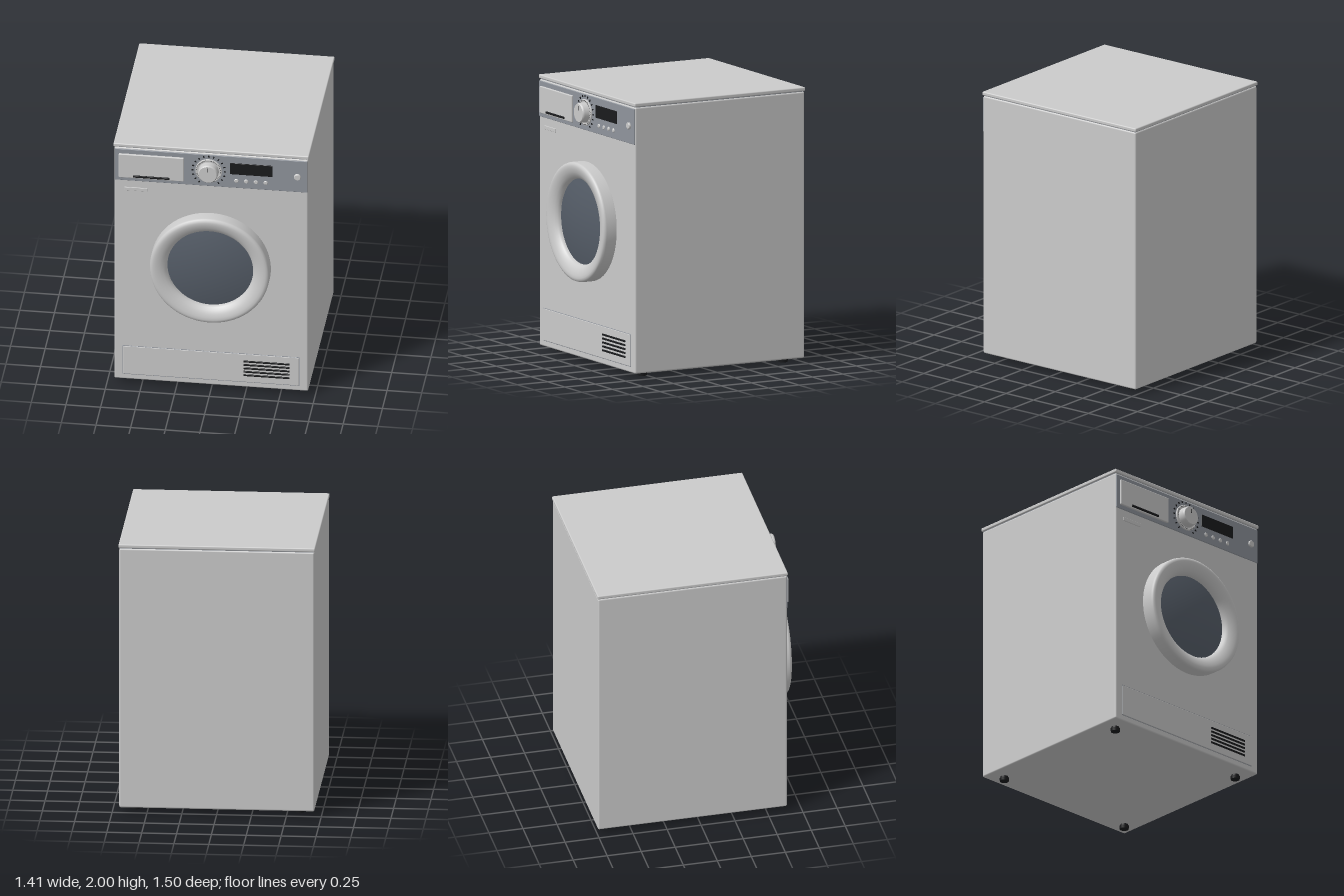
import * as THREE from 'three';
import { RoundedBoxGeometry } from 'three/addons/geometries/RoundedBoxGeometry.js';

const material = (color) => new THREE.MeshStandardMaterial({ color });
const grey = material(0xcccccc);
const slate = material(0x90959d);
const black = material(0x1a1b1d);
const glass = material(0x565e69);
const FRONT = 0.645; // z of the cabinet front

export function createModel() {
  const model = new THREE.Group();

  const add = (name, geometry, mat, x = 0, y = 0, z = 0) => {
    const mesh = new THREE.Mesh(geometry, mat);
    mesh.name = name;
    mesh.position.set(x, y, z);
    model.add(mesh);
    return mesh;
  };

  // Rounded box given by its extents on each axis
  const box = (name, mat, [x0, x1], [y0, y1], [z0, z1], r) =>
    add(name, new RoundedBoxGeometry(x1 - x0, y1 - y0, z1 - z0, 3, r), mat,
      (x0 + x1) / 2, (y0 + y1) / 2, (z0 + z1) / 2);

  // Turned part whose axis points to the front; profile is [radius, z]
  const turned = (name, mat, profile, x, y, segments = 48) => {
    const points = profile.map(([r, z]) => new THREE.Vector2(r, z));
    const geometry = new THREE.LatheGeometry(points, segments).rotateX(Math.PI / 2);
    return add(name, geometry, mat, x, y, 0);
  };

  // Round button with a softly chamfered edge
  const button = (name, x, y, r, z) => turned(name, grey, [
    [r, FRONT], [r, z - 0.004], [r, z - 0.004], [r - 0.004, z], [r - 0.004, z], [0, z],
  ], x, y, 24);

  // Cabinet and worktop
  box('cabinet', grey, [-0.7, 0.7], [0.035, 1.968], [-0.745, FRONT], 0.012);
  box('worktop', grey, [-0.705, 0.705], [1.972, 2.0], [-0.75, 0.65], 0.008);
  box('worktopSeam', slate, [-0.693, 0.693], [1.96, 1.98], [-0.738, 0.638], 0.004);

  // Feet
  for (const x of [-0.59, 0.59]) {
    for (const z of [-0.63, 0.525]) {
      add('foot', new THREE.CylinderGeometry(0.028, 0.028, 0.03, 24), black, x, 0.025, z);
      add('footPad', new THREE.CylinderGeometry(0.035, 0.032, 0.022, 24), black, x, 0.011, z);
    }
  }

  // Control panel, detergent drawer and its grip
  box('controlPanel', slate, [-0.695, 0.695], [1.698, 1.957], [0.62, 0.651], 0.004);
  box('detergentDrawer', grey, [-0.665, -0.195], [1.727, 1.922], [0.63, 0.665], 0.006);
  box('drawerGrip', black, [-0.56, -0.297], [1.738, 1.753], [0.65, 0.674], 0.003);

  // Programme dial with base ring, knob and pointer
  const dialX = -0.016, dialY = 1.827;
  turned('dialRing', grey, [
    [0.096, FRONT], [0.096, 0.657], [0.092, 0.661], [0.084, 0.661], [0.08, 0.657], [0, 0.657],
  ], dialX, dialY);
  turned('dialKnob', grey, [
    [0.074, 0.65], [0.071, 0.698], [0.071, 0.698], [0.069, 0.705], [0.064, 0.71],
    [0.064, 0.71], [0, 0.71],
  ], dialX, dialY);
  box('dialPointer', black, [dialX - 0.003, dialX + 0.003], [dialY + 0.02, dialY + 0.052], [0.705, 0.712], 0.001);

  // Fine scale on the ring and programme marks around it
  for (let i = 0; i < 48; i++) {
    const a = (i / 48) * Math.PI * 2;
    const tick = add('scaleTick', new THREE.BoxGeometry(0.002, 0.007, 0.002), black,
      dialX + Math.sin(a) * 0.087, dialY + Math.cos(a) * 0.087, 0.661);
    tick.rotation.z = -a;
  }
  for (let i = 0; i < 17; i++) {
    const a = (i / 16 - 0.5) * Math.PI * 1.6;
    const mark = add('programmeMark', new THREE.BoxGeometry(0.008, 0.014, 0.008), black,
      dialX + Math.sin(a) * 0.118, dialY + Math.cos(a) * 0.118, 0.652);
    mark.rotation.z = -a;
  }

  // Display, option buttons and power button
  box('display', black, [0.138, 0.445], [1.812, 1.904], [0.64, 0.656], 0.003);
  for (let i = 0; i < 4; i++) button('optionButton', 0.183 + i * 0.0705, 1.758, 0.016, 0.657);
  button('powerButton', 0.624, 1.826, 0.025, 0.665);

  // Small blank plate under the drawer
  box('plate', grey, [-0.625, -0.459], [1.614, 1.641], [0.635, 0.65], 0.003);

  // Door ring: straight outer wall, rounded face, slope in to the window
  turned('doorRing', grey, [
    [0.43, 0.64], [0.432, 0.65], [0.432, 0.725], [0.428, 0.739], [0.418, 0.747], [0.404, 0.75],
    [0.385, 0.748], [0.36, 0.741], [0.335, 0.728], [0.318, 0.712], [0.31, 0.695], [0.308, 0.665],
  ], 0, 1.04, 96);

  // Gently domed door window
  const dome = [];
  for (let i = 0; i <= 12; i++) {
    const r = 0.312 * (1 - i / 12);
    dome.push([r, 0.685 + 0.035 * (1 - (r / 0.312) ** 2)]);
  }
  turned('doorWindow', glass, dome, 0, 1.04, 96);

  // Lower service panel with shadow gap and vent slats
  box('servicePanelGap', slate, [-0.638, 0.638], [0.077, 0.315], [0.63, 0.6465], 0.001);
  box('servicePanel', grey, [-0.634, 0.634], [0.081, 0.311], [0.63, 0.65], 0.003);
  for (let i = 0; i < 5; i++) {
    const y = 0.139 + i * 0.0285;
    box('ventSlat', black, [0.233, 0.566], [y - 0.007, y + 0.007], [0.64, 0.656], 0.003);
  }

  return model;
}
